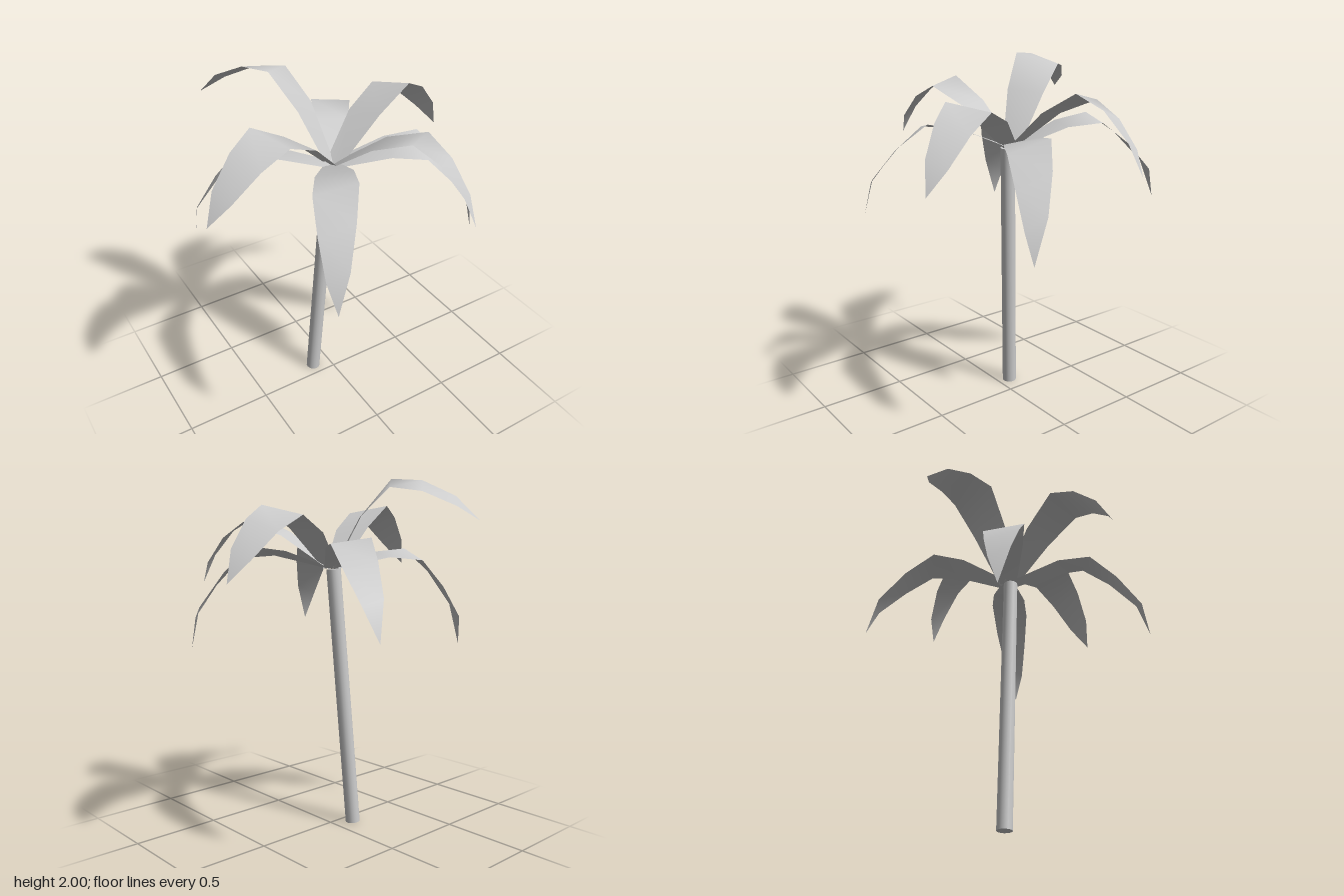
import * as THREE from 'three';

const rad = THREE.MathUtils.degToRad;
const CROWN = new THREE.Vector3(-0.006, 1.515, -0.004);

// Frond midrib stations: distance outward, height above the crown, width
const HIGH = [
  [0.01, -0.005, 0.095], [0.25, 0.22, 0.2], [0.46, 0.335, 0.24],
  [0.618, 0.267, 0.185], [0.765, 0.135, 0.115], [0.853, 0, 0],
];
const LOW = [
  [0.01, -0.005, 0.095], [0.29, 0.105, 0.195], [0.475, 0.125, 0.225],
  [0.63, -0.003, 0.185], [0.772, -0.175, 0.115], [0.822, -0.37, 0],
];

// Each frond: name, stations, yaw from +x towards +z, pitch (degrees),
// sideways cant (slope), sideways bow of the midrib (positive to the right)
const FRONDS = [
  ['upperFrond', HIGH, -11.7, -3.4, 0.33, -0.038],
  ['upperFrond', HIGH, 65, -7, 0.26, -0.03],
  ['upperFrond', HIGH, 165.3, 0, 0.25, -0.033],
  ['upperFrond', HIGH, 237.8, 17.6, -0.37, 0.04],
  ['lowerFrond', LOW, 29.2, -4.5, -0.45, -0.025],
  ['lowerFrond', LOW, 119.8, 0, -0.3, 0],
  ['lowerFrond', LOW, 209.3, -6.3, -0.42, -0.008],
  ['lowerFrond', LOW, -62.8, 3.5, -0.2, 0.03],
];

function frondGeometry(stations, yaw, pitch, cant, bow) {
  const out = new THREE.Vector3(Math.cos(yaw), 0, Math.sin(yaw));
  const right = new THREE.Vector3(-out.z, 0, out.x);
  const c = Math.cos(pitch), s = Math.sin(pitch);
  const last = stations.length - 1;
  const points = [], index = [];
  stations.forEach(([r, h, w], i) => {
    const mid = CROWN.clone().addScaledVector(out, r * c - h * s);
    mid.addScaledVector(right, bow * Math.sin(Math.PI * i / last));
    mid.y += r * s + h * c;
    // Cross line: slightly skewed outward, canted more towards the tip
    const across = right.clone().addScaledVector(out, 0.15);
    across.y = cant * i / 3;
    if (i === last) points.push(mid);
    else points.push(mid.clone().addScaledVector(across, -w / 2), mid.clone().addScaledVector(across, w / 2));
    const a = 2 * i;
    if (i < last - 1) index.push(a, a + 1, a + 2, a + 1, a + 3, a + 2);
    else if (i < last) index.push(a, a + 1, a + 2); // pointed tip
  });
  const geometry = new THREE.BufferGeometry().setFromPoints(points);
  geometry.setIndex(index);
  geometry.computeVertexNormals();
  return geometry;
}

export function createModel() {
  const model = new THREE.Group();
  model.name = 'palmTree';

  // Leaning trunk
  const foot = new THREE.Vector3(-0.112, 0.003, -0.075);
  const top = new THREE.Vector3(-0.025, 1.506, 0.002);
  const axis = top.clone().sub(foot);
  const trunk = new THREE.Mesh(
    new THREE.CylinderGeometry(0.041, 0.042, axis.length(), 16),
    new THREE.MeshStandardMaterial({ color: 0xcccccc }),
  );
  trunk.name = 'trunk';
  trunk.position.copy(foot).add(top).multiplyScalar(0.5);
  trunk.quaternion.setFromUnitVectors(new THREE.Vector3(0, 1, 0), axis.normalize());
  model.add(trunk);

  // Crown of arched fronds
  const leaf = new THREE.MeshStandardMaterial({ color: 0xcccccc, side: THREE.DoubleSide });
  const crown = new THREE.Group();
  crown.name = 'crown';
  FRONDS.forEach(([name, stations, yaw, pitch, cant, bow], i) => {
    const frond = new THREE.Mesh(frondGeometry(stations, rad(yaw), rad(pitch), cant, bow), leaf);
    frond.name = `${name}${(i % 4) + 1}`;
    crown.add(frond);
  });
  model.add(crown);
  return model;
}
